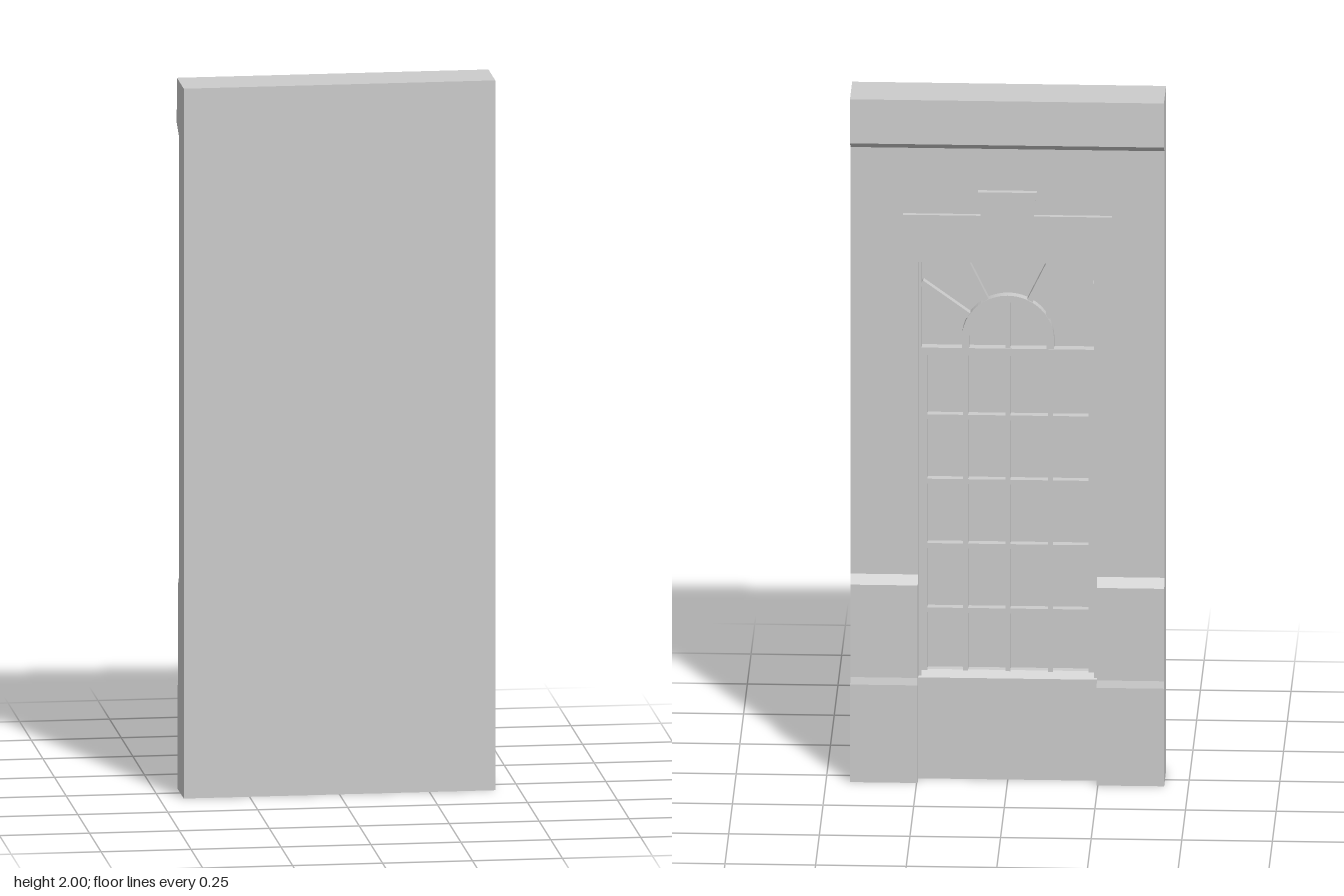
import * as THREE from 'three';

export function createModel() {
  const group = new THREE.Group();
  const mat = new THREE.MeshStandardMaterial({ color: 0xcccccc, flatShading: true });
  const W = 0.433;       // half width of the bay
  const OPEN = 0.247;    // half width of the window opening
  const GLASS = 0.02;    // z of the glass plane; the detailed face looks towards -z
  const BAR = -0.004;    // z of the glazing bar faces
  const FAN_Y = 1.27;    // centre of the fanlight rays

  const add = (name, geo) => {
    const mesh = new THREE.Mesh(geo, mat);
    mesh.name = name;
    group.add(mesh);
    return mesh;
  };
  const toShape = (pts) => new THREE.Shape(pts.map(([a, b]) => new THREE.Vector2(a, b)));

  // Box given by its limits on each axis
  const box = (name, x0, x1, y0, y1, z0, z1) =>
    add(name, new THREE.BoxGeometry(x1 - x0, y1 - y0, z1 - z0)
      .translate((x0 + x1) / 2, (y0 + y1) / 2, (z0 + z1) / 2));

  // Side profile of [projection towards -z, y] swept from x0 to x1
  const sweep = (name, pts, x0, x1) =>
    add(name, new THREE.ExtrudeGeometry(toShape(pts), { depth: x1 - x0, bevelEnabled: false })
      .rotateY(Math.PI / 2).translate(x0, 0, 0));

  // Outline in x, y given thickness from z0 to z1
  const plate = (name, shape, z0, z1) =>
    add(name, new THREE.ExtrudeGeometry(shape, { depth: z1 - z0, bevelEnabled: false, curveSegments: 20 })
      .translate(0, 0, z0));

  // Solid backing, whose -z face is the glass
  box('backingPanel', -W, W, 0, 2, GLASS, 0.076);

  // Piers with a stepped plinth
  const pier = [
    [-GLASS, 0], [0.055, 0], [0.055, 0.285], [0.05, 0.305], [0.05, 0.575],
    [0.029, 0.6], [0.029, 1.86], [-GLASS, 1.86],
  ];
  sweep('leftPier', pier, OPEN, W);
  sweep('rightPier', pier, -W, -OPEN);

  // Wall above the opening, and the cornice
  box('headWall', -OPEN, OPEN, 1.52, 1.86, -0.029, GLASS);
  sweep('cornice', [
    [-GLASS, 1.846], [0.029, 1.846], [0.076, 1.873], [0.071, 2], [-GLASS, 2],
  ], -W, W);

  // Apron with a sloping sill
  sweep('apron', [
    [-GLASS, 0], [0.016, 0], [0.016, 0.295], [0.002, 0.315], [-GLASS, 0.315],
  ], -OPEN, OPEN);

  // Flat lintel and keystone
  plate('lintel', toShape([[-0.268, 1.518], [0.268, 1.518], [0.288, 1.655], [-0.288, 1.655]]), -0.043, 0);
  plate('keystone', toShape([[-0.057, 1.511], [0.057, 1.511], [0.081, 1.725], [-0.081, 1.725]]), -0.047, 0);

  // Window frame: an outer bead and an inner stile on each side
  for (const s of [-1, 1]) {
    const strip = (name, a, b, top, z) =>
      box(name, Math.min(s * a, s * b), Math.max(s * a, s * b), 0.3, top, z, GLASS);
    strip('frameBead', 0.238, OPEN, 1.52, -0.014);
    strip('frameStile', 0.222, 0.238, 1.25, BAR);
  }

  // Glazing bars
  for (const x of [-0.117, 0, 0.117])
    box('verticalBar', x - 0.007, x + 0.007, 0.3, x === 0 ? 1.39 : 1.25, BAR, GLASS);
  for (let i = 1; i < 5; i++) {
    const y = 0.3 + i * 0.188;
    box('horizontalBar', -0.235, 0.235, y - 0.007, y + 0.007, BAR + 0.001, GLASS);
  }
  box('transom', -0.24, 0.24, 1.235, 1.256, BAR - 0.005, GLASS);

  // Fanlight arch
  const ro = 0.127, ri = 0.107, ay = 1.283;
  const arch = new THREE.Shape();
  arch.moveTo(ro, 1.245);
  arch.lineTo(ro, ay);
  arch.absarc(0, ay, ro, 0, Math.PI, false);
  arch.lineTo(-ro, 1.245);
  arch.lineTo(-ri, 1.245);
  arch.lineTo(-ri, ay);
  arch.absarc(0, ay, ri, Math.PI, 0, true);
  arch.lineTo(ri, 1.245);
  plate('fanArch', arch, BAR - 0.003, GLASS);

  // Fanlight rays, mirrored about the centre
  for (const deg of [36, 64, 116, 144]) {
    const r0 = 0.125, r1 = 0.295;
    const ray = add('fanRay', new THREE.BoxGeometry(r1 - r0, 0.016, GLASS - BAR)
      .translate((r0 + r1) / 2, 0, (GLASS + BAR) / 2));
    ray.position.y = FAN_Y;
    ray.rotation.z = THREE.MathUtils.degToRad(deg);
  }

  return group;
}
